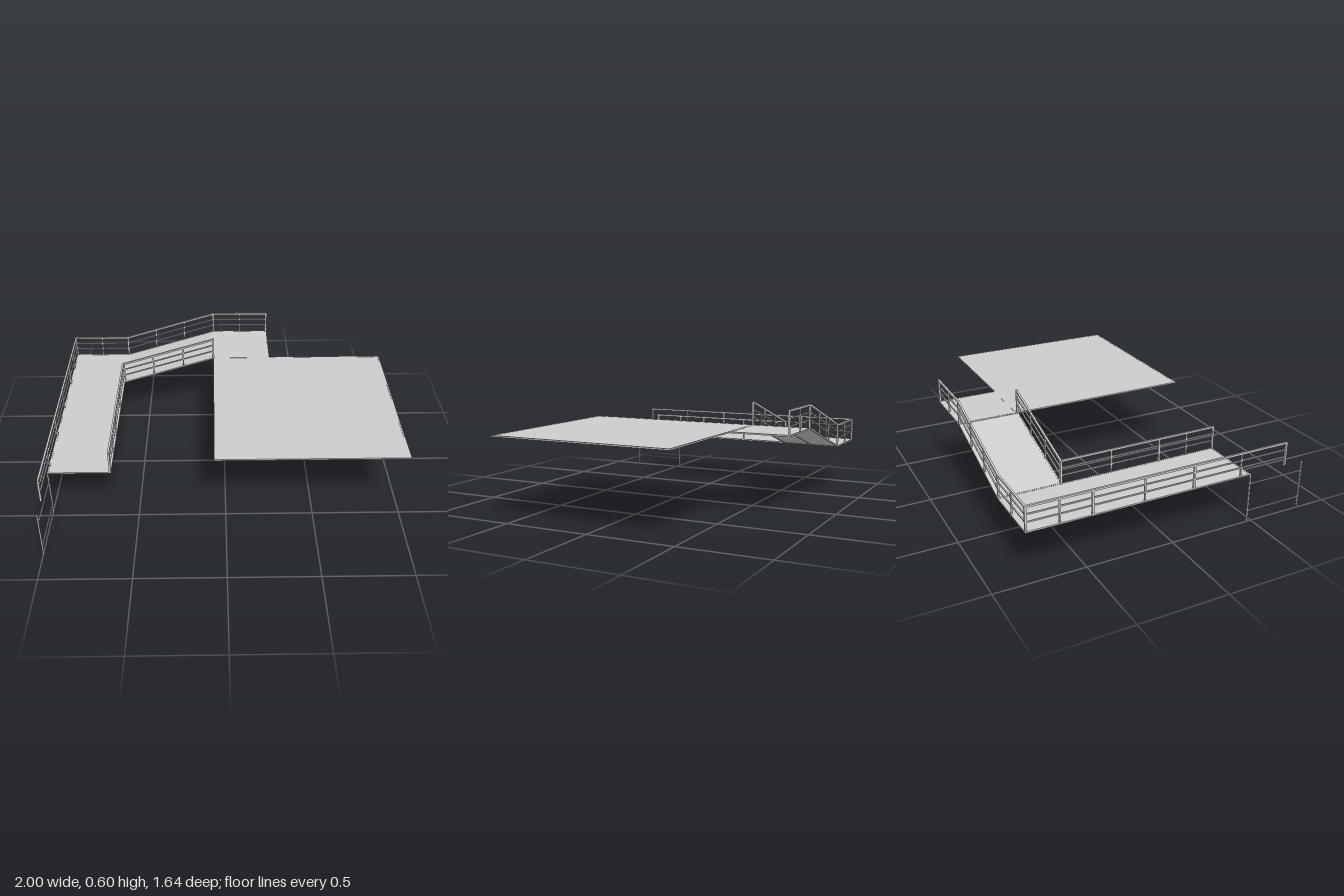
import * as THREE from 'three';

const material = new THREE.MeshStandardMaterial({ color: 0xcccccc, side: THREE.DoubleSide });
const UP = new THREE.Vector3(0, 1, 0);
const THICK = 0.011, THIN = 0.007;
const LOW = 0.288, HIGH = 0.464; // walking levels
const RAIL_H = 0.135;

// Square bar between two points
function bar(group, name, a, b, size = THICK) {
  const from = new THREE.Vector3(...a), to = new THREE.Vector3(...b);
  const dir = to.clone().sub(from);
  const mesh = new THREE.Mesh(new THREE.BoxGeometry(size, size, dir.length()), material);
  mesh.position.copy(from).add(to).multiplyScalar(0.5);
  const z = dir.normalize();
  const ref = Math.abs(z.y) > 0.99 ? new THREE.Vector3(1, 0, 0) : UP;
  const x = new THREE.Vector3().crossVectors(ref, z).normalize();
  const y = new THREE.Vector3().crossVectors(z, x);
  mesh.quaternion.setFromRotationMatrix(new THREE.Matrix4().makeBasis(x, y, z));
  mesh.name = name;
  group.add(mesh);
}

const mix = (a, b, t) => a.map((v, i) => v + (b[i] - v) * t);
const lift = (p, h) => [p[0], p[1] + h, p[2]];

// Handrail, two middle rails and evenly spaced posts
function railing(name, a, b, bays) {
  const group = new THREE.Group();
  group.name = name;
  bar(group, 'handrail', lift(a, RAIL_H), lift(b, RAIL_H));
  for (const h of [0.052, 0.094]) bar(group, 'middleRail', lift(a, h), lift(b, h), THIN);
  for (let i = 0; i <= bays; i++) {
    const p = mix(a, b, i / bays);
    bar(group, 'post', p, lift(p, RAIL_H + THICK / 2), i % bays ? 0.008 : THICK);
  }
  return group;
}

// Thin deck with edge beams and joists; height runs from y0 at x0 to y1 at x1
function deck(name, x0, x1, z0, z1, y0, y1, xs, zs) {
  const group = new THREE.Group();
  group.name = name;
  const yAt = x => y0 + (y1 - y0) * (x - x0) / (x1 - x0);
  const length = Math.hypot(x1 - x0, y1 - y0);
  const plate = new THREE.Mesh(new THREE.BoxGeometry(length, 0.004, z1 - z0), material);
  plate.position.set((x0 + x1) / 2, (y0 + y1) / 2 + 0.001, (z0 + z1) / 2);
  plate.rotation.z = Math.atan2(y1 - y0, x1 - x0);
  plate.name = 'deckPlate';
  group.add(plate);
  const e = 0.004; // beams stay within the outline
  for (const z of [z0 + e, z1 - e])
    bar(group, 'edgeBeam', [x0, y0, z], [x1, y1, z], 0.008);
  for (const x of [x0 + e, x1 - e])
    bar(group, 'endBeam', [x, yAt(x), z0], [x, yAt(x), z1], 0.008);
  for (const z of zs) bar(group, 'joist', [x0, y0 - 0.001, z], [x1, y1 - 0.001, z], 0.006);
  for (const x of xs) bar(group, 'joist', [x, yAt(x) - 0.001, z0], [x, yAt(x) - 0.001, z1], 0.006);
  return group;
}

export function createModel() {
  const model = new THREE.Group();
  model.name = 'rampedWalkway';

  // Decks
  model.add(
    deck('mainPlatform', -0.064, 1, -0.475, 0.588, HIGH, HIGH, [0.29, 0.645], [-0.12, 0.234]),
    deck('upperLanding', -0.064, 0.295, -0.822, -0.475, HIGH, HIGH, [0.115], [-0.648]),
    deck('ramp', -0.643, -0.064, -0.822, -0.468, LOW, HIGH, [], [-0.645]),
    deck('lowerWalkway', -1, -0.643, -0.822, 0.47, LOW, LOW, [-0.82], [-0.468, -0.17, 0.115])
  );

  // Railings on the lower walkway; the outer one runs past the deck
  const outer = -0.994, inner = -0.648, back = -0.816, front = -0.473;
  const ends = [-0.643, -0.064];
  model.add(
    railing('outerCornerRailing', [outer, LOW, back], [outer, LOW, -0.465], 2),
    railing('outerRailing', [outer, LOW, -0.465], [outer, LOW, 0.117], 2),
    railing('outerEndRailing', [outer, LOW, 0.117], [outer, LOW, 0.7], 2),
    railing('innerRailing', [inner, LOW, front], [inner, LOW, 0.115], 2),
    railing('innerEndRailing', [inner, LOW, 0.115], [inner, LOW, 0.465], 2),
    railing('backRailing', [outer, LOW, back], [ends[0], LOW, back], 2)
  );

  // Railings on both sides of the ramp and behind the upper landing
  for (const z of [back, front])
    model.add(railing('rampRailing', [ends[0], LOW, z], [ends[1], HIGH, z], 3));
  model.add(railing('upperRailing', [ends[1], HIGH, back], [0.29, HIGH, back], 2));

  // Ground support frame at the end of the walkway
  const support = new THREE.Group();
  support.name = 'supportFrame';
  const x = -0.996;
  for (const z of [0.474, 0.818]) bar(support, 'leg', [x, 0, z], [x, 0.292, z], 0.008);
  for (const y of [0.065, 0.23]) bar(support, 'crossBar', [x, y, 0.474], [x, y, 0.818], 0.006);
  model.add(support);

  return model;
}
